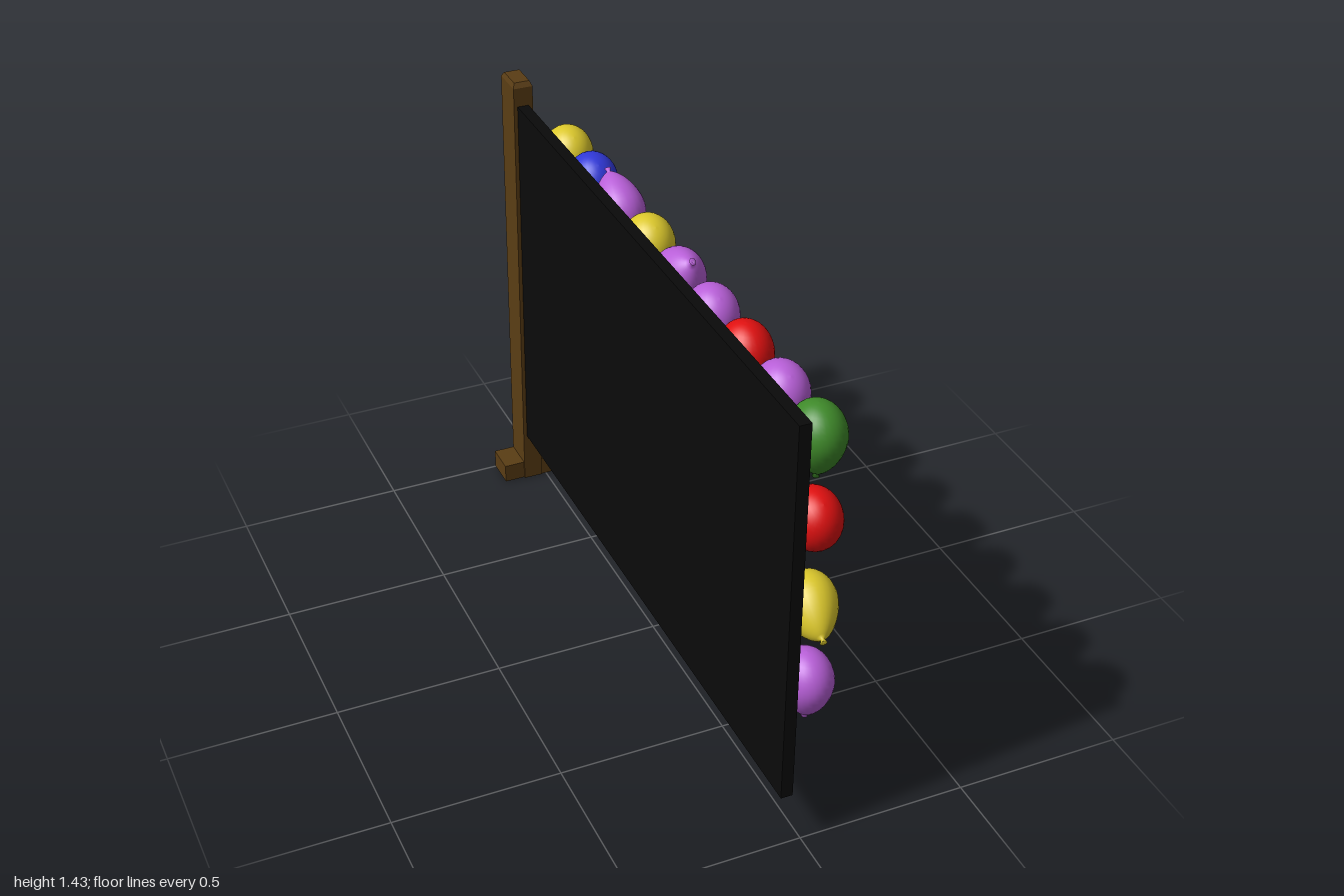
import * as THREE from 'three';

const COLORS = { g: 0x3f8a2a, p: 0xb85fd8, r: 0xe01010, y: 0xdcc82c, b: 0x3038d8 };
const mat = (color, flat = false) => new THREE.MeshStandardMaterial({ color, flatShading: flat, side: THREE.DoubleSide });

function add(parent, name, geometry, material, x = 0, y = 0, z = 0) {
  const mesh = new THREE.Mesh(geometry, material);
  mesh.name = name;
  mesh.position.set(x, y, z);
  parent.add(mesh);
  return mesh;
}

// Balloon: round crown, tapered lower half and a small flared knot
function balloonGeometry() {
  const pts = [];
  for (let i = 0; i <= 10; i++) {
    const a = (i / 10) * Math.PI / 2;
    pts.push(new THREE.Vector2(0.087 * Math.sin(a), 0.09 * Math.cos(a)));
  }
  const lower = new THREE.CubicBezierCurve(
    new THREE.Vector2(0.087, 0), new THREE.Vector2(0.087, -0.045),
    new THREE.Vector2(0.045, -0.105), new THREE.Vector2(0.006, -0.119));
  pts.push(...lower.getPoints(10).slice(1));
  pts.push(new THREE.Vector2(0.011, -0.13), new THREE.Vector2(0, -0.126));
  // points run downward, so reverse for outward faces
  const geo = new THREE.LatheGeometry(pts.reverse(), 28);
  geo.scale(0.86, 1, 1);
  return geo;
}

export function createModel() {
  const model = new THREE.Group();
  model.name = 'balloonBoard';
  const wood = mat(0x5a3d14, true);
  const black = mat(0x0a0a0a, true);

  // Board and post lean together by a hair
  const lean = -0.007;
  const board = add(model, 'board', new THREE.BoxGeometry(0.035, 1.19, 1.91), black, -0.042, 0.765, 0.045);
  board.rotation.z = lean;

  const post = new THREE.Group();
  post.name = 'post';
  post.position.set(-0.046, 0, -0.946);
  post.rotation.z = lean;
  model.add(post);
  add(post, 'postShaft', new THREE.BoxGeometry(0.061, 1.415, 0.106), wood, 0, 0.7125, 0);
  // Chamfered cap: a four-sided frustum stretched to the post section
  const cap = new THREE.CylinderGeometry(0.8, 1, 0.015, 4);
  cap.rotateY(Math.PI / 4);
  cap.scale(0.061 / Math.SQRT2, 1, 0.106 / Math.SQRT2);
  add(post, 'postCap', cap, wood, 0, 1.4275, 0);

  // Two foot blocks
  add(model, 'footRight', new THREE.BoxGeometry(0.122, 0.06, 0.1), wood, -0.081, 0.036, -0.948);
  add(model, 'footLeft', new THREE.BoxGeometry(0.082, 0.06, 0.1), wood, 0.02, 0.033, -0.948);

  // Balloon grid, from the front end to the post; a dot is an empty place
  const columns = [0.87, 0.665, 0.455, 0.245, 0.03, -0.18, -0.39, -0.595, -0.79];
  const rows = [
    { y: 1.23, colors: 'gprppypby', tilt: [0, 0.6, 0, 0.6, 3.9, 0.6, 2.4, 0.6, 0.6] },
    { y: 0.97, colors: 'r.pybpr.g', tilt: [0.6, 0, 4.29, 0.6, 0, 0.6, 0, 0, 0.6] },
    { y: 0.70, colors: 'ybpr.pypp', tilt: [-1.26, 0.6, 0, 0.6, 0, 0.6, 0, 0.6, 0.6] },
    { y: 0.445, colors: 'pgyprbp.g', tilt: [0, 0.6, 0, 0.6, 0, 0.6, 0, 0, 0.6] },
  ];
  const geo = balloonGeometry();
  const paints = Object.fromEntries(Object.entries(COLORS).map(([k, c]) => [k, mat(c)]));
  const balloons = new THREE.Group();
  balloons.name = 'balloons';
  model.add(balloons);
  rows.forEach((row, j) => columns.forEach((z, i) => {
    const key = row.colors[i];
    if (key === '.') return;
    const b = add(balloons, `balloon${j + 1}_${i + 1}`, geo, paints[key], 0.065, row.y, z);
    b.rotation.x = row.tilt[i];
    // two balloons also swing a little towards the board
    if (j === 1 && i === 3) b.rotation.z = -0.25;
    if (j === 2 && i === 0) b.rotation.z = -0.15;
  }));
  return model;
}
